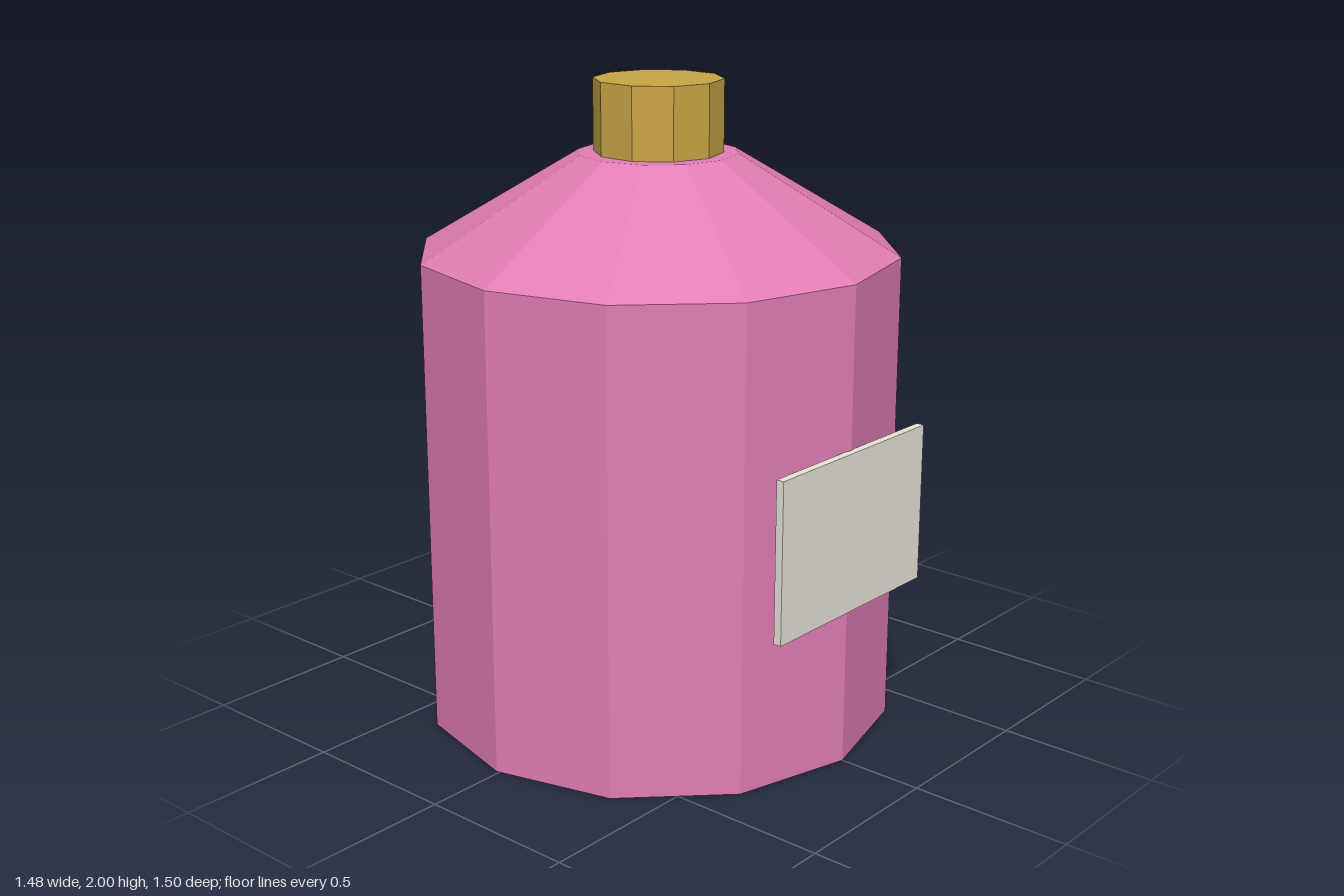
import * as THREE from 'three';

const CENTRE_Z = -0.01;

function addPart(group, name, geometry, color, y, z = CENTRE_Z) {
  const material = new THREE.MeshStandardMaterial({ color, flatShading: true });
  const mesh = new THREE.Mesh(geometry, material);
  mesh.name = name;
  mesh.position.set(0, y, z);
  group.add(mesh);
}

export function createModel() {
  const group = new THREE.Group();
  group.name = 'bottle';
  const pink = 0xe27db5, gold = 0xc9a646, cream = 0xe8e4d8;

  // Twelve-sided body and the shoulder tapering to the neck
  addPart(group, 'body', new THREE.CylinderGeometry(0.74, 0.74, 1.483, 12), pink, 0.7415);
  addPart(group, 'shoulder', new THREE.CylinderGeometry(0.247, 0.74, 0.297, 12), pink, 1.6315);

  // Ten-sided cap
  addPart(group, 'cap', new THREE.CylinderGeometry(0.198, 0.198, 0.22, 10), gold, 1.89);

  // Flat label plate on the front
  addPart(group, 'label', new THREE.BoxGeometry(0.69, 0.494, 0.025), cream, 0.743, 0.7365);

  return group;
}
